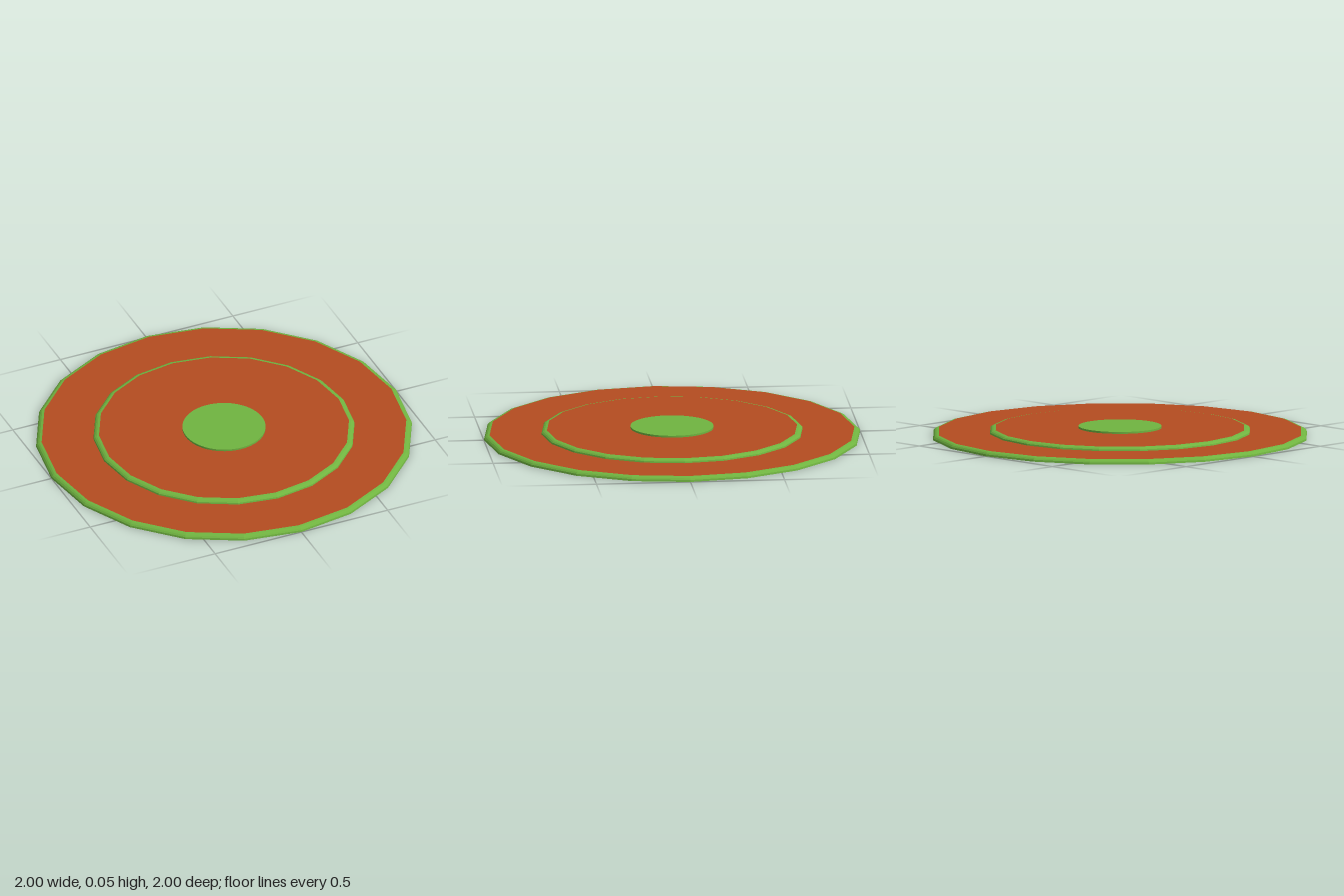
import * as THREE from 'three';

const SIDES = 20;

export function createModel() {
  const model = new THREE.Group();
  const surface = (color, flatShading) =>
    new THREE.MeshStandardMaterial({ color, flatShading, side: THREE.DoubleSide });
  const green = surface(0x70b440, true);
  const greenSmooth = surface(0x70b440, false);
  const orange = surface(0xb44c20, true);

  const add = (name, geometry, material) => {
    const mesh = new THREE.Mesh(geometry, material);
    mesh.name = name;
    model.add(mesh);
    return mesh;
  };

  // Points of a regular ring in the plane
  const ring = (radius, sides) => Array.from({ length: sides }, (_, i) => {
    const a = (i / sides) * Math.PI * 2;
    return new THREE.Vector2(radius * Math.cos(a), radius * Math.sin(a));
  });

  // Rounded polygonal step, open underneath
  const edge = (name, radius, base, rise) => {
    const profile = [[0, 0], [0.002, 0.4], [0.009, 0.7], [0.018, 0.9], [0.03, 1]]
      .map(([inset, t]) => new THREE.Vector2(radius - inset, base + rise * t));
    add(name, new THREE.LatheGeometry(profile, SIDES), green);
  };

  // Flat polygonal sheet with a hole, facing up
  const sheet = (name, radius, hole, holeSides, y) => {
    const shape = new THREE.Shape(ring(radius, SIDES));
    shape.holes.push(new THREE.Path(ring(hole, holeSides)));
    const geometry = new THREE.ShapeGeometry(shape).rotateX(-Math.PI / 2).translate(0, y, 0);
    add(name, geometry, orange);
  };

  edge('outerRim', 1, 0, 0.025);
  sheet('outerPlate', 0.97, 0.695, SIDES, 0.025);
  edge('innerRim', 0.695, 0.025, 0.02);
  sheet('innerPlate', 0.665, 0.22, 64, 0.045);

  // Raised round centre: wall and cap, hollow below
  const wall = new THREE.CylinderGeometry(0.22, 0.22, 0.02, 64, 1, true).translate(0, 0.045, 0);
  add('centreWall', wall, greenSmooth);
  const cap = new THREE.CircleGeometry(0.22, 64).rotateX(-Math.PI / 2).translate(0, 0.055, 0);
  add('centreCap', cap, greenSmooth);

  return model;
}
